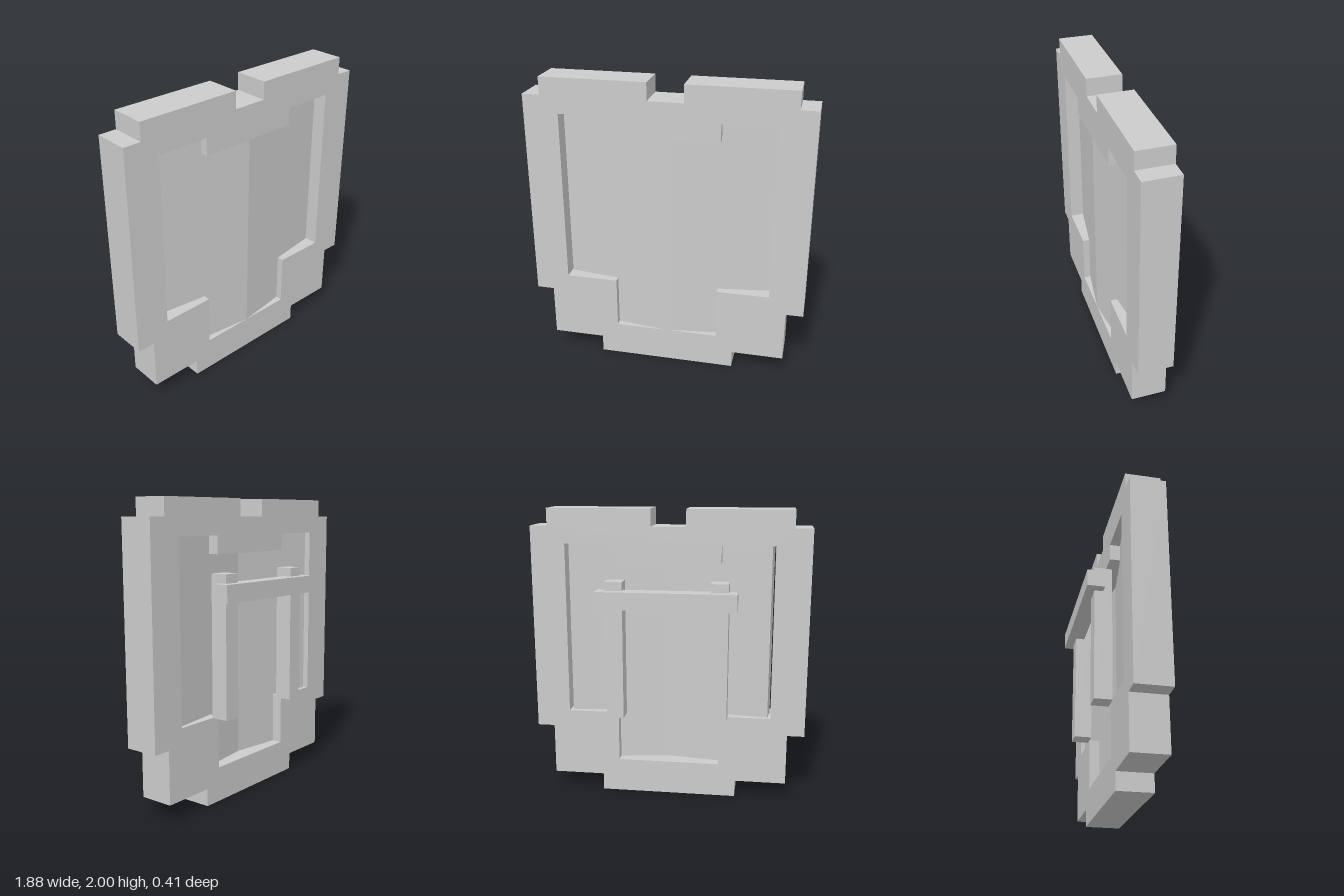
import * as THREE from 'three';

const U = 2 / 17; // one block of the grid the shield is built on
const FRONT = 1.75 * U;

const material = new THREE.MeshStandardMaterial({ color: 0xcccccc, flatShading: true });

// Closed outline from its right half (in blocks), mirrored to the left
function mirrored(half) {
  const left = half.map(([x, y]) => [-x, y]).reverse();
  return [...half, ...left].map(([x, y]) => new THREE.Vector2(x * U, y * U));
}

// Box from its minimum and maximum corners, in blocks
function block(name, min, max) {
  const size = max.map((v, i) => (v - min[i]) * U);
  const mesh = new THREE.Mesh(new THREE.BoxGeometry(...size), material);
  mesh.position.set(...max.map((v, i) => ((v + min[i]) / 2) * U));
  mesh.name = name;
  return mesh;
}

export function createModel() {
  const group = new THREE.Group();
  group.name = 'shield';

  // Stepped rim with a notch in the top and a stepped opening
  const outline = new THREE.Shape(mirrored([
    [4, 0], [4, 1], [7, 1], [7, 4], [8, 4], [8, 16], [7, 16], [7, 17], [1, 17], [1, 16],
  ]));
  outline.holes.push(new THREE.Path(mirrored([
    [3, 2], [3, 5], [6, 5], [6, 15], [3, 15], [3, 14],
  ])));
  const rimGeometry = new THREE.ExtrudeGeometry(outline, { depth: 2 * U, bevelEnabled: false });
  rimGeometry.translate(0, 0, FRONT - 2 * U);
  const rim = new THREE.Mesh(rimGeometry, material);
  rim.name = 'rim';
  group.add(rim);

  for (const side of [1, -1]) {
    const label = side > 0 ? 'left' : 'right';

    // Face panel, hinged at the front centre line and swept back
    const panelGeometry = new THREE.BoxGeometry(6 * U, 13 * U, U);
    panelGeometry.translate(side * 3 * U, 8.5 * U, -U / 2);
    const panel = new THREE.Mesh(panelGeometry, material);
    panel.position.z = FRONT;
    panel.rotation.y = side * THREE.MathUtils.degToRad(7.5);
    panel.name = label + 'Panel';
    group.add(panel);

    // Upright strap on the back
    const x = side * 3;
    group.add(block(label + 'Strap', [x - 0.5, 5, -1.25], [x + 0.5, 13, -0.25]));
    group.children.at(-1).position.x = side * 3 * U;
  }

  // Grip bar across the straps
  group.add(block('gripBar', [-4, 11.5, -1.75], [4, 12.5, -0.75]));
  return group;
}
